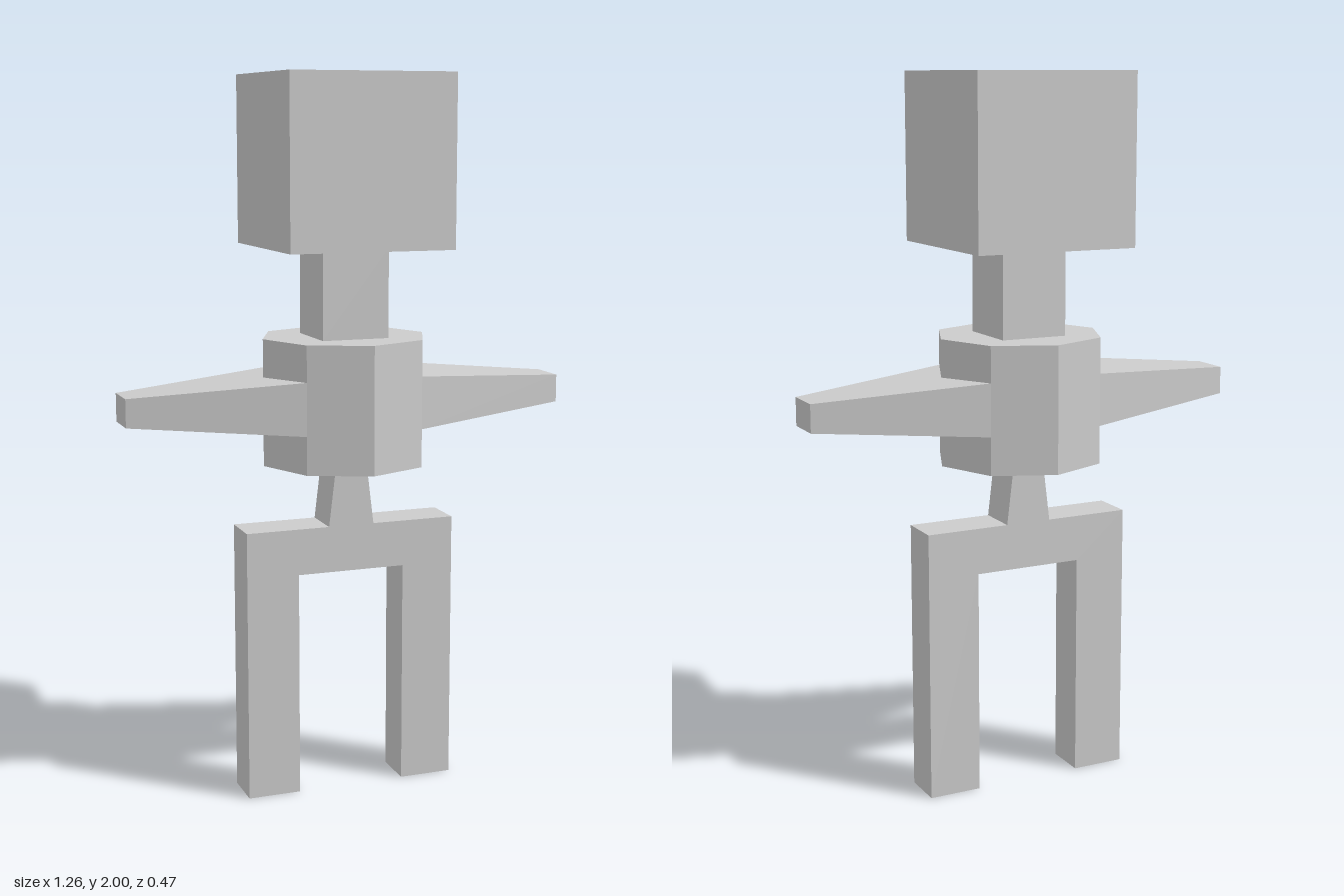
import * as THREE from 'three';

export function createModel() {
  const group = new THREE.Group();
  const material = new THREE.MeshStandardMaterial({ color: 0xcccccc, flatShading: true });

  const add = (name, geometry, x = 0, y = 0, z = 0) => {
    const mesh = new THREE.Mesh(geometry, material);
    mesh.name = name;
    mesh.position.set(x, y, z);
    group.add(mesh);
  };

  // Cube head on a square neck
  add('head', new THREE.BoxGeometry(0.464, 0.464, 0.464), 0, 1.768, 0);
  add('neck', new THREE.BoxGeometry(0.19, 0.246, 0.19), 0, 1.413, 0);

  // Eight-sided torso with corners on the x and z axes
  add('torso', new THREE.CylinderGeometry(0.235, 0.235, 0.352, 8), 0, 1.114, 0);

  // Arms: boxes tapering from the torso corners to a small square hand
  const inner = { x: 0.166, h: 0.073, d: 0.166 };
  const outer = { x: 0.632, h: 0.039, d: 0.056 };
  for (const side of [1, -1]) {
    const arm = new THREE.BoxGeometry(1, 1, 1);
    const p = arm.attributes.position;
    for (let i = 0; i < p.count; i++) {
      const end = p.getX(i) * side > 0 ? outer : inner;
      p.setXYZ(i, end.x * side, Math.sign(p.getY(i)) * end.h, Math.sign(p.getZ(i)) * end.d);
    }
    arm.computeVertexNormals();
    add(side > 0 ? 'leftArm' : 'rightArm', arm, 0, 1.117, 0);
  }

  // Waist, hips and legs as one flat outline, mirrored about x = 0
  const half = [[0.045, 0.938], [0.066, 0.765], [0.305, 0.765], [0.305, 0], [0.155, 0], [0.155, 0.635]];
  const mirrored = half.map(([x, y]) => [-x, y]).reverse();
  const outline = new THREE.Shape([...half, ...mirrored].map(([x, y]) => new THREE.Vector2(x, y)));
  const lower = new THREE.ExtrudeGeometry(outline, { depth: 0.122, bevelEnabled: false });
  add('waistAndLegs', lower, 0, 0, -0.061);

  return group;
}
